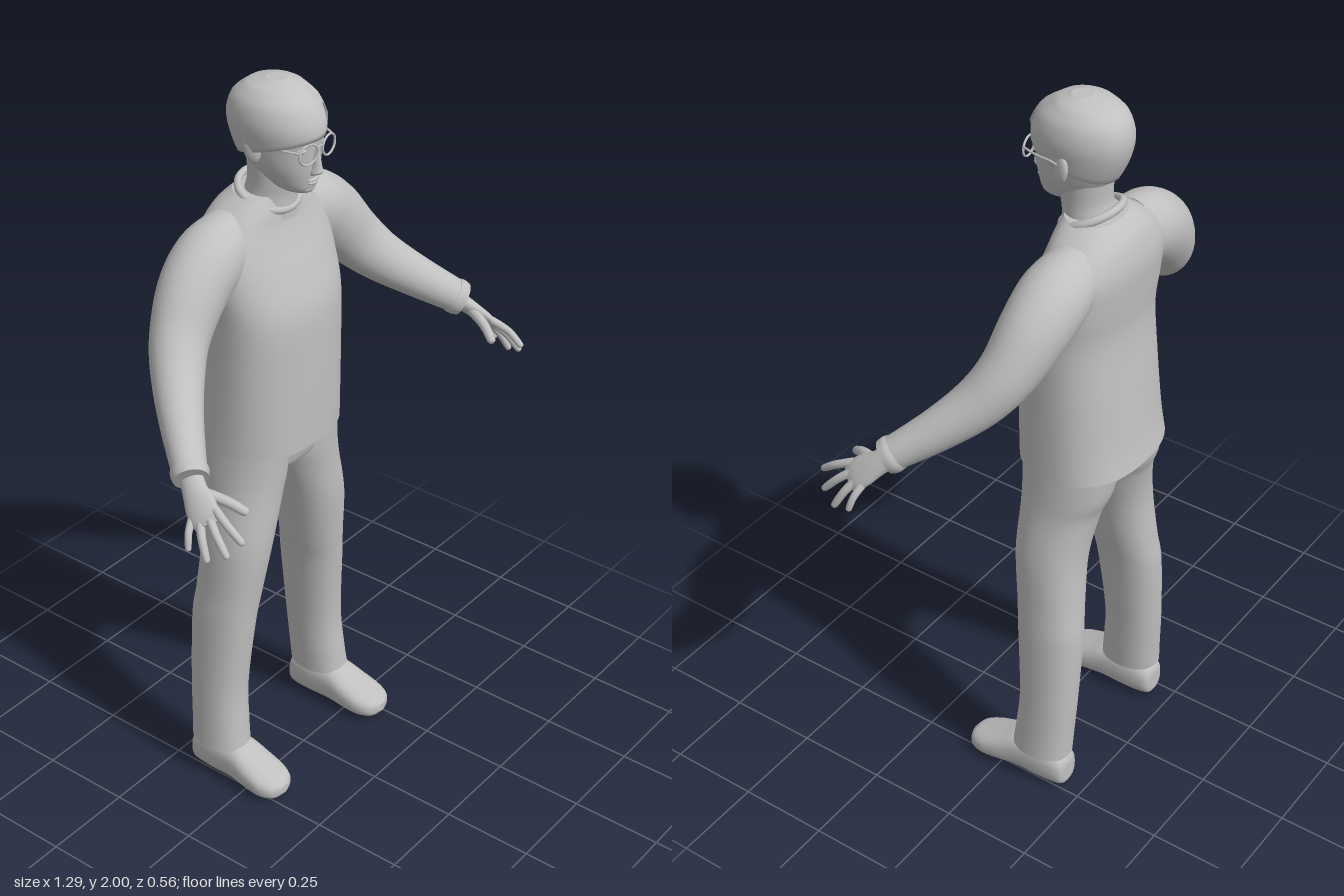
import * as THREE from 'three';

const V = (x, y, z) => new THREE.Vector3(x, y, z);
const UP = V(0, 1, 0), RIGHT = V(1, 0, 0), FRONT = V(0, 0, 1);

// Smooth value between rows i and i+1 of a station table
function spline(rows, i, u) {
  const r = k => rows[Math.min(rows.length - 1, Math.max(0, k))];
  return rows[i].map((_, c) => {
    const p0 = r(i - 1)[c], p1 = r(i)[c], p2 = r(i + 1)[c], p3 = r(i + 2)[c];
    return 0.5 * (2 * p1 + (p2 - p0) * u + (2 * p0 - 5 * p1 + 4 * p2 - p3) * u * u
      + (3 * p1 - p0 - 3 * p2 + p3) * u * u * u);
  });
}

function densify(rows, steps) {
  const out = [];
  for (let i = 0; i < rows.length - 1; i++)
    for (let k = 0; k < steps; k++) out.push(spline(rows, i, k / steps));
  out.push(rows[rows.length - 1]);
  return out;
}

// Closed skin over rings of points, with a separate flat cap at each end
function skin(rings) {
  const n = rings[0].length, pos = [], idx = [];
  rings.forEach(r => r.forEach(p => pos.push(p.x, p.y, p.z)));
  for (let i = 0; i < rings.length - 1; i++)
    for (let j = 0; j < n; j++) {
      const a = i * n + j, b = i * n + (j + 1) % n;
      idx.push(a, a + n, b, b, a + n, b + n);
    }
  [rings[0], rings[rings.length - 1]].forEach((r, end) => {
    const base = pos.length / 3, c = V(0, 0, 0);
    r.forEach(p => { c.addScaledVector(p, 1 / n); pos.push(p.x, p.y, p.z); });
    pos.push(c.x, c.y, c.z);
    for (let j = 0; j < n; j++) {
      const a = base + j, b = base + (j + 1) % n;
      end ? idx.push(a, base + n, b) : idx.push(a, b, base + n);
    }
  });
  const g = new THREE.BufferGeometry();
  g.setAttribute('position', new THREE.Float32BufferAttribute(pos, 3));
  g.setIndex(idx);
  g.computeVertexNormals();
  return g;
}

// Stations are [x, y, z, radius along u, radius across]; sections follow the path unless axis is fixed
function loft(stations, { u = RIGHT, axis = null, power = 2, seg = 32, steps = 5 } = {}) {
  const rows = densify(stations, steps), e = 2 / power;
  const bend = c => Math.sign(c) * Math.pow(Math.abs(c), e);
  return skin(rows.map((r, i) => {
    const a = rows[Math.max(0, i - 1)], b = rows[Math.min(rows.length - 1, i + 1)];
    const t = axis || V(b[0] - a[0], b[1] - a[1], b[2] - a[2]).normalize();
    const U = u.clone().addScaledVector(t, -u.dot(t)).normalize(), W = U.clone().cross(t);
    return Array.from({ length: seg }, (_, j) => {
      const th = j / seg * Math.PI * 2;
      return V(r[0], r[1], r[2]).addScaledVector(U, r[3] * bend(Math.cos(th)))
        .addScaledVector(W, r[4] * bend(Math.sin(th)));
    });
  }));
}

// [y, xMin, xMax, zBack, zFront] to a horizontal station
const slab = ([y, x0, x1, z0, z1]) => [(x0 + x1) / 2, y, (z0 + z1) / 2, (x1 - x0) / 2, (z1 - z0) / 2];
const sym = ([y, w, z0, z1]) => slab([y, -w, w, z0, z1]);

const HEAD = [[1.722, .02, -.03, .012], [1.735, .044, -.085, .027], [1.77, .066, -.14, .034],
  [1.80, .078, -.165, .037], [1.85, .088, -.188, .04], [1.90, .095, -.196, .043], [1.945, .085, -.182, .022],
  [1.975, .058, -.145, -.02], [1.988, .02, -.095, -.055]].map(sym);

function headAt(y) {
  let i = 0;
  while (i < HEAD.length - 2 && HEAD[i + 1][1] < y) i++;
  return spline(HEAD, i, (y - HEAD[i][1]) / (HEAD[i + 1][1] - HEAD[i][1]));
}

// Swept hair: a shell over the skull whose lower edge rises at the parting
function hairGeometry() {
  const seg = 64, rows = 18, rings = [];
  for (let k = -1; k <= rows; k++) {
    const t = Math.sin(Math.max(0, k) / rows * Math.PI / 2);
    rings.push(Array.from({ length: seg }, (_, j) => {
      const th = j / seg * Math.PI * 2, c = Math.cos(th), s = Math.sin(th);
      const notch = Math.exp(-Math.pow((th - 1.05) / .24, 2));
      const edge = 1.838 + .038 * s + .07 * notch;
      const y = edge + (1.986 - edge) * t, h = headAt(y);
      const grow = k < 0 ? .97 : 1.08 + .06 * Math.max(0, -c) + .05 * Math.max(0, s) * (1 - t);
      return V(h[3] * c * grow - .004, y + .013 * t, h[2] + h[4] * s * grow);
    }));
  }
  return skin(rings);
}

export function createModel() {
  const root = new THREE.Group();
  root.name = 'standingPerson';
  const grey = new THREE.MeshStandardMaterial({ color: 0xc0c0c0 });
  grey.name = 'plainGrey';
  const add = (name, geo, parent = root) => {
    const m = new THREE.Mesh(geo, grey);
    m.name = name;
    parent.add(m);
    return m;
  };
  const ball = (name, x, y, z, sx, sy, sz, parent) => {
    const m = add(name, new THREE.SphereGeometry(1, 20, 14), parent);
    m.position.set(x, y, z);
    m.scale.set(sx, sy, sz);
    return m;
  };
  const flat = { axis: UP };

  // Sweater body and collar
  add('sweaterBody', loft([[1.02, .205, -.28, .04], [1.1, .202, -.266, .041], [1.25, .199, -.25, .042],
    [1.4, .2, -.236, .038], [1.5, .208, -.242, .008], [1.58, .205, -.246, -.022], [1.63, .178, -.238, -.038],
    [1.67, .135, -.222, -.045], [1.705, .085, -.19, -.055]].map(sym), { ...flat, power: 2.4, seg: 56 }));
  const collar = add('collar', new THREE.TorusGeometry(1, .13, 10, 48));
  collar.position.set(0, 1.695, -.11);
  collar.scale.set(.082, .075, .085);
  collar.rotation.x = Math.PI / 2 + .42;

  // Trouser seat
  add('trouserSeat', loft([[.915, .05, -.16, -.05], [.935, .11, -.205, -.025], [.965, .175, -.232, -.004],
    [1.05, .198, -.25, .012]].map(sym), { ...flat, power: 2.3, seg: 48 }));

  for (const s of [1, -1]) {
    const side = s > 0 ? 'left' : 'right';
    const flip = rows => rows.map(([x, ...rest]) => [x * s, ...rest]);

    // Sleeve and cuff
    add(side + 'Sleeve', loft(flip([[.11, 1.595, -.14, .075, .085], [.195, 1.57, -.137, .088, .094],
      [.27, 1.515, -.13, .084, .093], [.345, 1.43, -.108, .072, .08], [.405, 1.36, -.065, .064, .068],
      [.475, 1.293, .005, .053, .056], [.555, 1.222, .098, .041, .044]]), { u: FRONT, steps: 7 }));
    add(side + 'Cuff', loft(flip([[.541, 1.234, .082, .044, .047], [.549, 1.227, .091, .047, .049],
      [.559, 1.219, .103, .043, .045]]), { u: FRONT }));

    // Hand: palm, four fingers, thumb
    const hand = new THREE.Group();
    hand.name = side + 'Hand';
    root.add(hand);
    const across = V(-.45 * s, .45, .77);
    add('palm', loft(flip([[.54, 1.232, .08, .029, .023], [.565, 1.2, .118, .032, .02], [.58, 1.177, .147, .04, .017],
      [.592, 1.157, .17, .04, .014], [.6, 1.143, .185, .032, .008]]), { u: across, seg: 20 }), hand);
    const finger = (name, a, m, b, r) => add(name, loft(flip([[...a, r * 1.1, r * 1.1], [...m, r, r],
      [...b.map((v, i) => v + (m[i] - v) * .15), r * .85, r * .85], [...b, r * .25, r * .25]]),
    { u: across, seg: 12 }), hand);
    const tips = [[.585, 1.122, .282], [.615, 1.088, .258], [.635, 1.068, .212], [.641, 1.083, .16]];
    ['indexFinger', 'middleFinger', 'ringFinger', 'littleFinger'].forEach((name, i) => {
      const k = .031 - i * .021;
      const a = [.588 - .45 * k, 1.162 + .45 * k, .165 + .77 * k];
      const m = a.map((v, c) => (v + tips[i][c]) / 2 + [.006, .006, 0][c]);
      finger(name, a, m, tips[i], i === 3 ? .009 : .0105);
    });
    finger('thumb', [.558, 1.195, .135], [.535, 1.18, .19], [.511, 1.152, .236], .013);

    // Trouser leg
    const leg = [[.11, .155, .285, -.2, -.03], [.18, .15, .28, -.203, -.038], [.3, .142, .272, -.209, -.045],
      [.5, .12, .26, -.213, -.03], [.6, .1, .25, -.204, -.02], [.75, .066, .238, -.196, -.004],
      [.88, .026, .214, -.213, 0], [.95, .004, .206, -.238, .004], [1.05, .002, .198, -.25, .01]];
    add(side + 'TrouserLeg', loft(flip(leg.map(slab)), { ...flat, power: 2.2 }));

    // Shoe, lofted from heel to toe
    const shoe = [[-.2, .218, .022, .02, .08], [-.188, .218, .042, .006, .105], [-.13, .218, .053, .004, .13],
      [-.05, .219, .056, .008, .125], [.01, .221, .061, .006, .1], [.06, .223, .06, .006, .08],
      [.095, .224, .044, .012, .066], [.11, .224, .015, .026, .05]];
    add(side + 'Shoe', loft(flip(shoe.map(([z, x, w, y0, y1]) => [x, (y0 + y1) / 2, z, w, (y1 - y0) / 2])),
      { axis: FRONT, power: 2.5 }));
  }

  // Neck and head
  add('neck', loft([[1.64, .075, -.18, -.035], [1.7, .066, -.168, -.036], [1.74, .063, -.158, -.03],
    [1.8, .066, -.16, -.03]].map(sym), flat));
  add('head', loft(HEAD, { ...flat, seg: 48 }));
  add('hair', hairGeometry());

  // Face
  add('nose', loft([[0, 1.775, .032, .013, .006], [0, 1.783, .036, .017, .02], [0, 1.8, .038, .012, .016],
    [0, 1.845, .037, .007, .008]], { ...flat, seg: 20 }));
  ball('upperLip', 0, 1.763, .031, .022, .005, .009);
  ball('lowerLip', 0, 1.754, .029, .018, .006, .009);
  ball('chin', 0, 1.737, .014, .024, .014, .014);

  // Ears, eyes and glasses
  const glasses = new THREE.Group();
  glasses.name = 'glasses';
  root.add(glasses);
  const wire = (name, pts, r) => add(name, new THREE.TubeGeometry(
    new THREE.CatmullRomCurve3(pts.map(p => V(...p))), 16, r, 8), glasses);
  for (const s of [1, -1]) {
    const side = s > 0 ? 'left' : 'right';
    const ear = ball(side + 'Ear', s * .093, 1.842, -.083, .011, .036, .022);
    ear.rotation.set(-.2, s * -.35, 0);
    ball(side + 'Eye', s * .036, 1.845, .022, .016, .008, .012);
    const rim = add(side + 'Rim', new THREE.TorusGeometry(.03, .0032, 8, 32), glasses);
    rim.position.set(s * .039, 1.843, .046);
    rim.scale.y = .85;
    rim.rotation.y = s * .15;
    wire(side + 'Temple', [[s * .068, 1.853, .042], [s * .088, 1.858, -.01], [s * .097, 1.858, -.07],
      [s * .096, 1.842, -.1]], .003);
  }
  wire('bridge', [[-.011, 1.85, .049], [0, 1.855, .051], [.011, 1.85, .049]], .003);
  return root;
}
